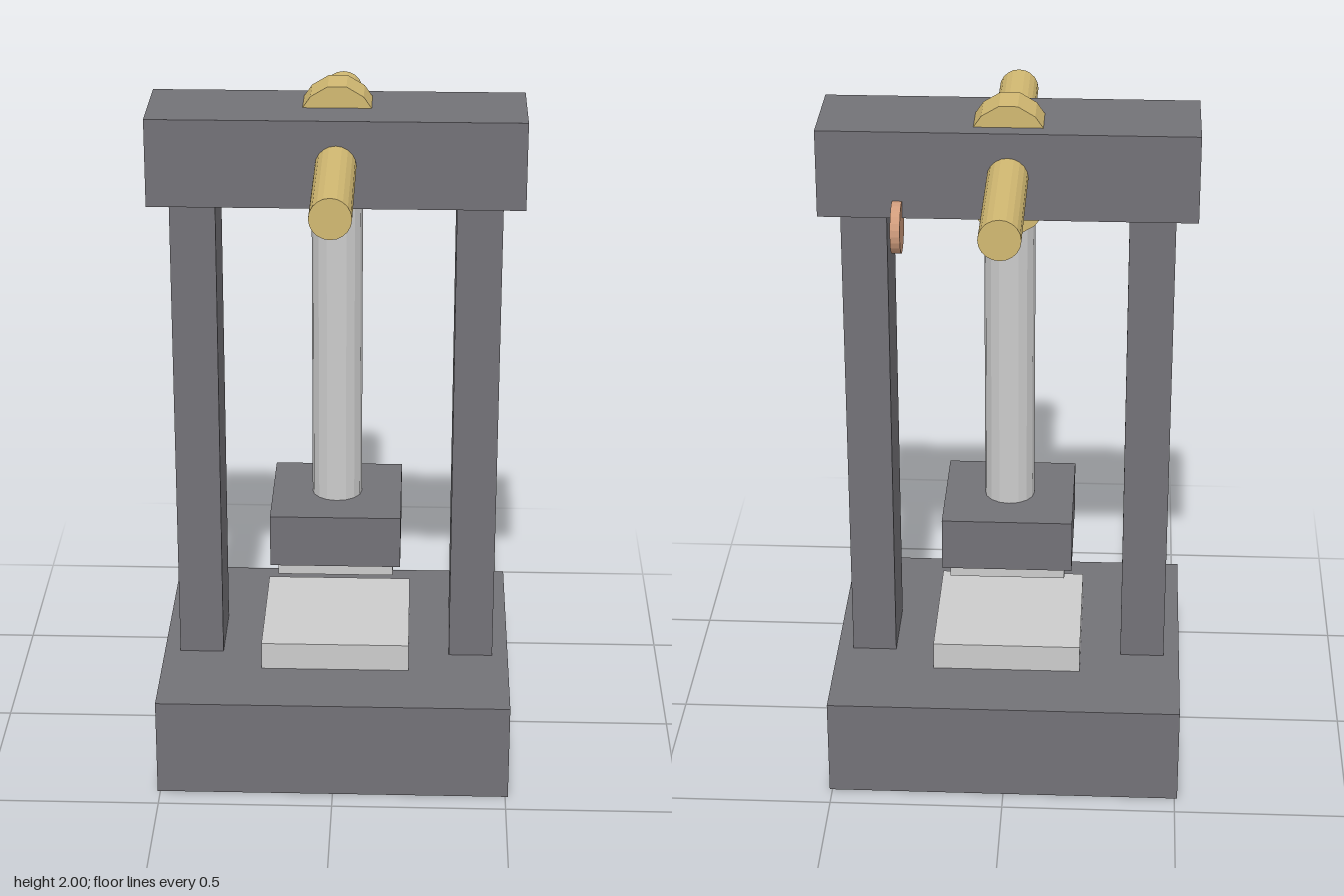
import * as THREE from 'three';

export function createModel() {
  const model = new THREE.Group();
  const material = (color) => new THREE.MeshStandardMaterial({ color, flatShading: true });
  const iron = material(0x737277);
  const steel = material(0xcccccc);
  const brass = material(0xd2b972);
  const copper = material(0xd09c7c);

  function add(name, geometry, mat, x, y, z) {
    const mesh = new THREE.Mesh(geometry, mat);
    mesh.name = name;
    mesh.position.set(x, y, z);
    model.add(mesh);
    return mesh;
  }

  // Box standing between two heights
  function block(name, width, depth, bottom, top, mat, x = 0) {
    return add(name, new THREE.BoxGeometry(width, top - bottom, depth), mat, x, (bottom + top) / 2, 0);
  }

  // Frame: base, two uprights and the top beam
  block('base', 1.016, 0.866, 0, 0.29, iron);
  for (const side of [-1, 1]) {
    block(side > 0 ? 'leftPost' : 'rightPost', 0.128, 0.23, 0.29, 1.69, iron, side * 0.398);
  }
  block('topBeam', 1.046, 0.286, 1.69, 1.94, iron);

  // Pressing parts: lower die, ram head, upper die and ram shaft
  block('lowerDie', 0.43, 0.43, 0.29, 0.372, steel);
  block('ramHead', 0.375, 0.375, 0.615, 0.77, iron);
  block('upperDie', 0.332, 0.332, 0.577, 0.615, steel);
  add('ramShaft', new THREE.CylinderGeometry(0.072, 0.072, 0.9, 16), steel, 0, 1.22, 0);

  // Drive axle running front to back through the beam
  const axle = new THREE.CylinderGeometry(0.057, 0.057, 1.156, 20).rotateX(Math.PI / 2);
  add('axle', axle, brass, 0, 1.813, 0);

  // Oval cam on the axle, with a small flat at its top
  const cam = new THREE.CylinderGeometry(1, 1, 0.115, 16)
    .rotateY(Math.PI / 16).rotateX(Math.PI / 2).scale(0.132, 0.191, 1);
  add('cam', cam, brass, 0, 1.813, -0.037);

  // Small disc at the back lower edge of the beam
  const disc = new THREE.CylinderGeometry(0.072, 0.072, 0.027, 24).rotateZ(Math.PI / 2);
  add('copperDisc', disc, copper, 0.302, 1.67, -0.16);

  return model;
}
